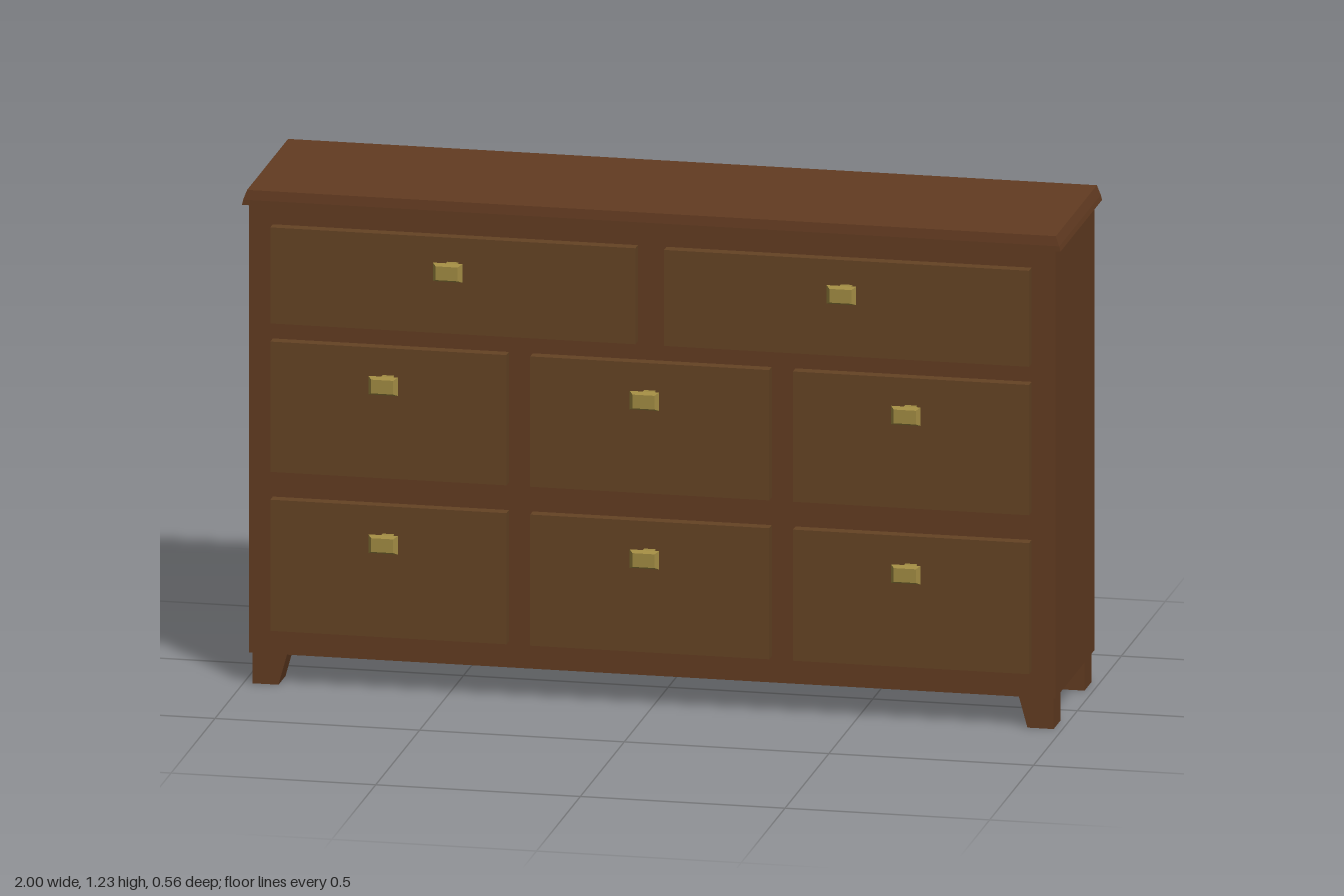
import * as THREE from 'three';

const wood = new THREE.MeshStandardMaterial({ color: 0x623b21 });
const drawerWood = new THREE.MeshStandardMaterial({ color: 0x644324 });
const brass = new THREE.MeshStandardMaterial({ color: 0xa08a42 });

// Flat-shaded solid through rectangles [z, x0, x1, y0, y1], ordered by rising z
function loft(sections) {
  const pos = [], idx = [];
  for (const [z, x0, x1, y0, y1] of sections) {
    pos.push(x0, y0, z, x1, y0, z, x1, y1, z, x0, y1, z);
  }
  const last = (sections.length - 1) * 4;
  for (let b = 0; b < last; b += 4) {
    for (let i = 0; i < 4; i++) {
      const j = (i + 1) % 4;
      idx.push(b + i, b + j, b + 4 + j, b + i, b + 4 + j, b + 4 + i);
    }
  }
  idx.push(0, 2, 1, 0, 3, 2, last, last + 1, last + 2, last, last + 2, last + 3);
  const indexed = new THREE.BufferGeometry();
  indexed.setAttribute('position', new THREE.Float32BufferAttribute(pos, 3));
  indexed.setIndex(idx);
  const geo = indexed.toNonIndexed();
  geo.computeVertexNormals();
  return geo;
}

// Same, but rising along y with rectangles [y, x0, x1, z0, z1]
function loftUp(sections) {
  return loft(sections.map(([y, x0, x1, z0, z1]) => [y, x0, x1, -z1, -z0])).rotateX(-Math.PI / 2);
}

function box(x0, x1, y0, y1, z0, z1) {
  return new THREE.BoxGeometry(x1 - x0, y1 - y0, z1 - z0)
    .translate((x0 + x1) / 2, (y0 + y1) / 2, (z0 + z1) / 2);
}

export function createModel() {
  const model = new THREE.Group();
  model.name = 'chestOfDrawers';
  const add = (parent, name, geo, mat) => {
    const mesh = new THREE.Mesh(geo, mat);
    mesh.name = name;
    parent.add(mesh);
    return mesh;
  };

  // Cabinet and its bevelled top board
  add(model, 'cabinet', box(-0.985, 0.985, 0.078, 1.192, -0.266, 0.181), wood);
  add(model, 'topBoard', loftUp([
    [1.19, -1, 1, -0.281, 0.193],
    [1.203, -0.997, 0.997, -0.28, 0.193],
    [1.227, -0.988, 0.988, -0.277, 0.19],
  ]), wood);

  // Feet, sloped on the inner side
  for (const side of [-1, 1]) {
    for (const [end, z0, z1] of [['front', 0.092, 0.173], ['back', -0.26, -0.179]]) {
      const span = (inner) => (side > 0 ? [inner, 0.979] : [-0.979, -inner]);
      const foot = loftUp([[0, ...span(0.915), z0, z1], [0.08, ...span(0.893), z0, z1]]);
      add(model, `${end}${side > 0 ? 'Left' : 'Right'}Foot`, foot, wood);
    }
  }

  // Square flared knob: stem, flare, bevelled face
  const knobGeo = loft([
    [0, 0.014, 0.01],
    [0.03, 0.014, 0.01],
    [0.06, 0.036, 0.023],
    [0.071, 0.027, 0.017],
  ].map(([z, w, h]) => [z, -w, w, -h, h]));

  // Drawer rows: bottom, top, knob height, x ranges
  const thirds = [[-0.927, -0.35], [-0.292, 0.292], [0.35, 0.927]];
  const rows = [
    ['top', 0.905, 1.143, 1.073, [[-0.927, -0.035], [0.035, 0.927]]],
    ['middle', 0.537, 0.86, 0.783, thirds],
    ['bottom', 0.143, 0.468, 0.39, thirds],
  ];
  for (const [row, y0, y1, knobY, spans] of rows) {
    spans.forEach(([x0, x1], i) => {
      const drawer = new THREE.Group();
      drawer.name = `${row}Drawer${i + 1}`;
      add(drawer, 'drawerFront', box(x0, x1, y0, y1, 0.175, 0.21), drawerWood);
      add(drawer, 'knob', knobGeo, brass).position.set((x0 + x1) / 2, knobY, 0.21);
      model.add(drawer);
    });
  }
  return model;
}
